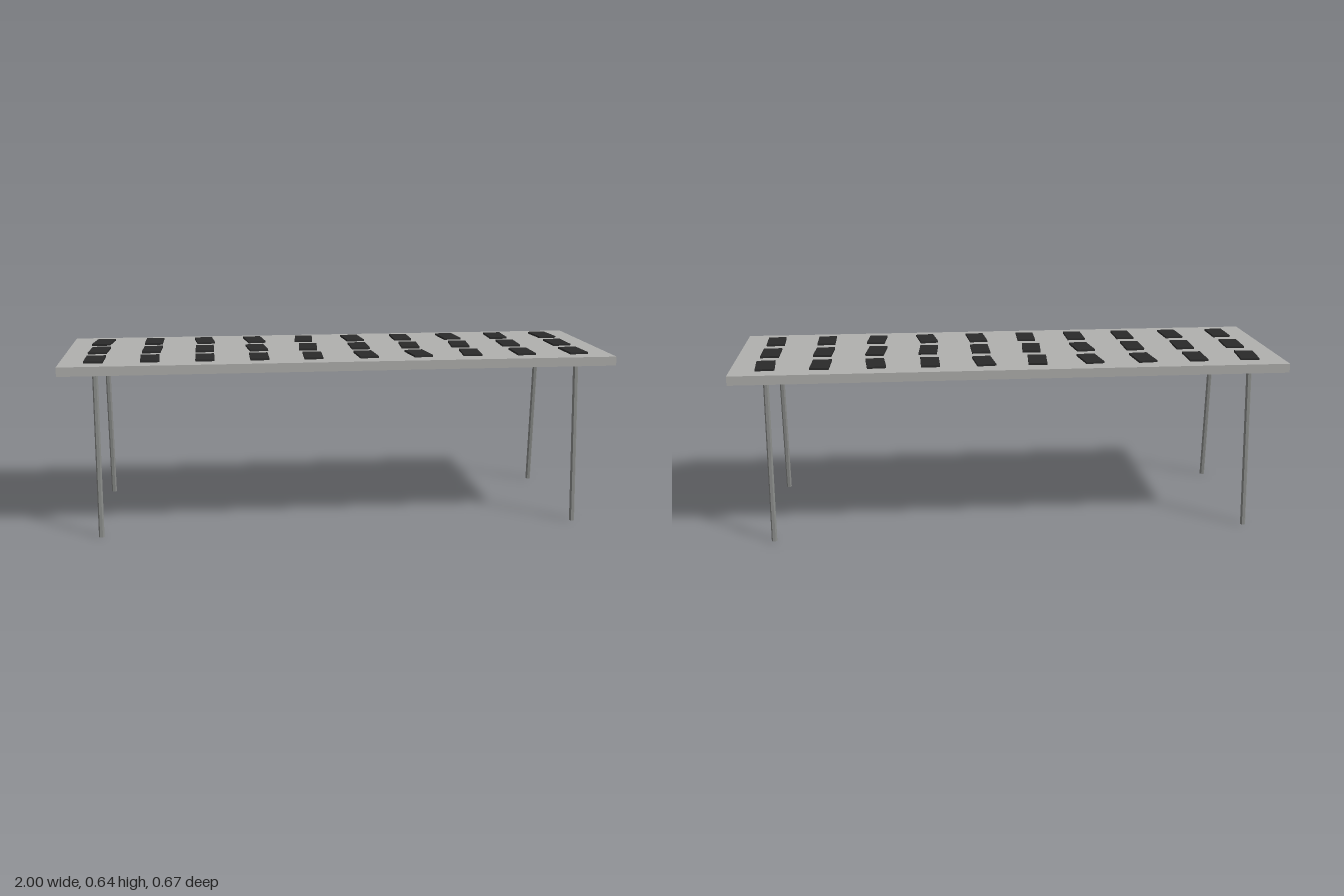
import * as THREE from 'three';

export function createModel() {
  const model = new THREE.Group();
  model.name = 'displayTable';
  const mat = (name, color) => {
    const m = new THREE.MeshStandardMaterial({ color });
    m.name = name;
    return m;
  };
  const topGrey = mat('tabletop grey', 0xb0b0ae);
  const legGrey = mat('leg grey', 0x8a8c8a);
  legGrey.flatShading = true;
  const black = mat('tile black', 0x2a2a2a);

  const add = (name, geometry, material, x, y, z) => {
    const mesh = new THREE.Mesh(geometry, material);
    mesh.name = name;
    mesh.position.set(x, y, z);
    model.add(mesh);
    return mesh;
  };

  // Slab
  add('tabletop', new THREE.BoxGeometry(2, 0.033, 0.667), topGrey, 0, 0.6145, 0);

  // Thin six-sided legs, splayed towards front and back
  const height = 0.599, splay = 0.043;
  const legGeometry = new THREE.CylinderGeometry(0.01, 0.01, Math.hypot(height, splay), 6);
  legGeometry.rotateY(Math.PI / 2);
  for (const sx of [-1, 1]) {
    for (const sz of [-1, 1]) {
      const leg = add('leg', legGeometry, legGrey, sx * 0.876, height / 2, sz * 0.272);
      leg.rotation.x = -sz * Math.atan2(splay, height);
    }
  }

  // Three rows of ten flat tiles, each turned by a few degrees
  const turns = [
    [-6, -1, 5, 7, -5, 5, 0, 4, -2, 4],
    [-3, -2, 0, 6, -5, 0, -4, -6, -3, 0],
    [0, 2, 0, 0, -2, 4, 7, -5, 0, 2],
  ];
  const tileGeometry = new THREE.BoxGeometry(0.068, 0.008, 0.132);
  turns.forEach((row, r) => row.forEach((deg, c) => {
    const tile = add('tile', tileGeometry, black, -0.88 + c * 0.1956, 0.634, (r - 1) * 0.2);
    tile.rotation.y = THREE.MathUtils.degToRad(deg);
  }));
  return model;
}
